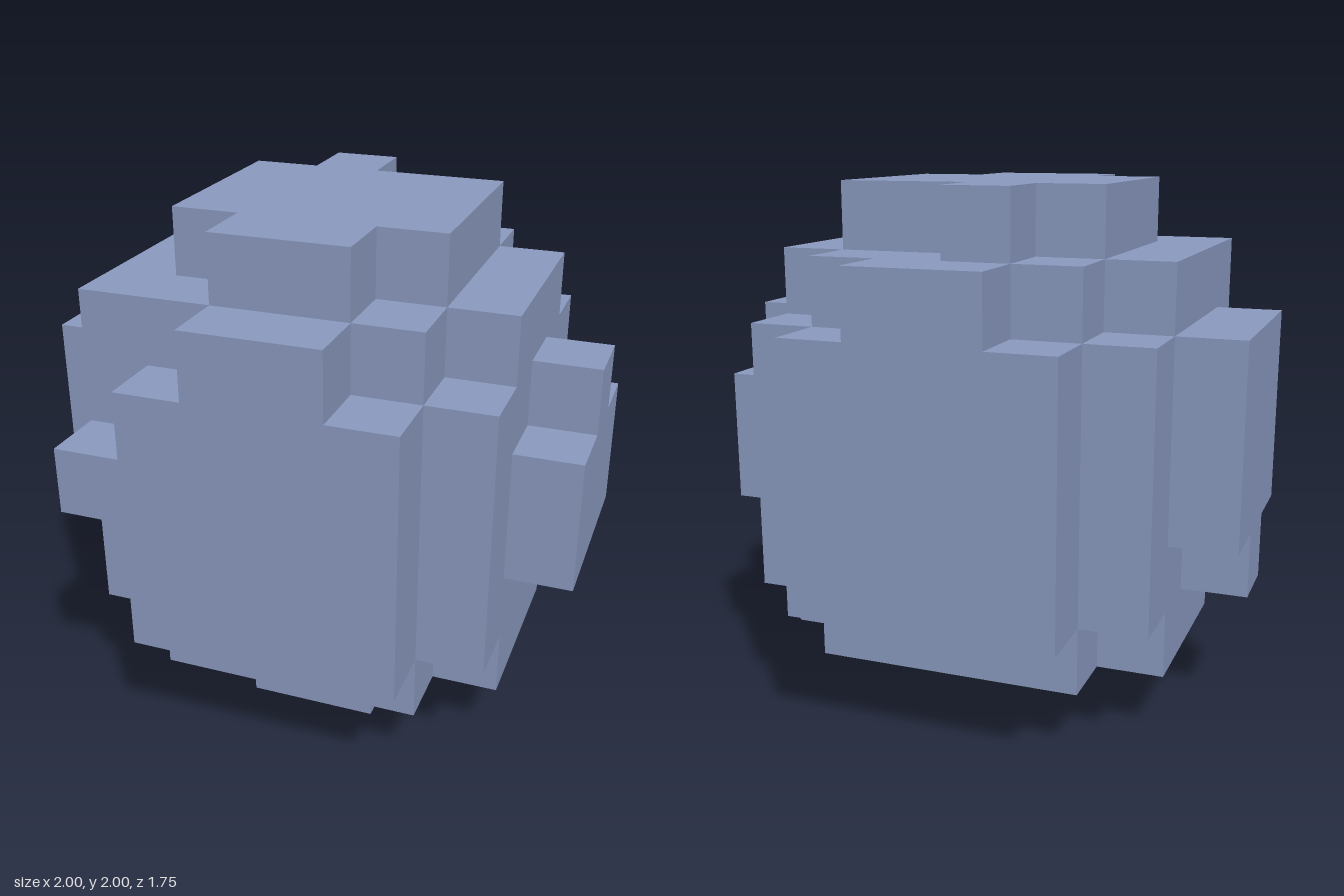
import * as THREE from 'three';

const U = 0.25; // one block

export function createModel() {
  const model = new THREE.Group();
  model.name = 'blockBoulder';
  const slateBlue = new THREE.MeshStandardMaterial({ color: 0x8b9bc1 });
  slateBlue.name = 'slateBlue';

  // Each box is given by its bounds in blocks: [x0, x1, y0, y1, z0, z1]
  function part(name, boxes) {
    const group = new THREE.Group();
    group.name = name;
    for (const [x0, x1, y0, y1, z0, z1] of boxes) {
      const geo = new THREE.BoxGeometry((x1 - x0) * U, (y1 - y0) * U, (z1 - z0) * U);
      geo.translate((x0 + x1) / 2 * U, (y0 + y1) / 2 * U, (z0 + z1) / 2 * U);
      const mesh = new THREE.Mesh(geo, slateBlue);
      mesh.name = name + 'Block';
      group.add(mesh);
    }
    model.add(group);
  }

  // A layer with its four corner blocks cut away
  const cross = (y0, y1) => [
    [-3, 3, y0, y1, -1.5, 1.5],
    [-2, 2, y0, y1, 1.5, 2.5],
    [-2, 2, y0, y1, -2.5, -1.5],
  ];

  // Body; one upper corner is filled in
  part('lowerBody', cross(1, 2));
  part('middleBody', [[-3, 3, 2, 6, -2.5, 2.5]]);
  part('upperBody', [...cross(6, 7), [-3, -2, 6, 7, 1.5, 2.5]]);

  // Cap on top and foot below
  part('cap', [
    [-2, 2, 7, 8, -1.5, 1.5],
    [-1, 1, 7, 8, 1.5, 2.5],
    [-1, 0, 7, 8, -2.5, -1.5],
  ]);
  part('foot', [[-1, 1, 0, 1, -0.5, 1.5]]);

  // Raised slabs on the four sides
  part('frontSlab', [
    [-2, 2, 2, 6, 2.5, 3.5],
    [-1, 1, 6, 7, 2.5, 3.5],
    [-3, -2, 4, 5, 2.5, 3.5],
  ]);
  part('backSlab', [
    [-2, 2, 2, 6, -3.5, -2.5],
    [-1, 1, 6, 7, -3.5, -2.5],
  ]);
  part('leftSlab', [
    [3, 4, 3, 5, -1.5, 1.5],
    [3, 4, 5, 6, -0.5, 0.5],
  ]);
  part('rightSlab', [
    [-4, -3, 3, 6, -1.5, 1.5],
    [-4, -3, 2, 3, -0.5, 0.5],
  ]);

  return model;
}
